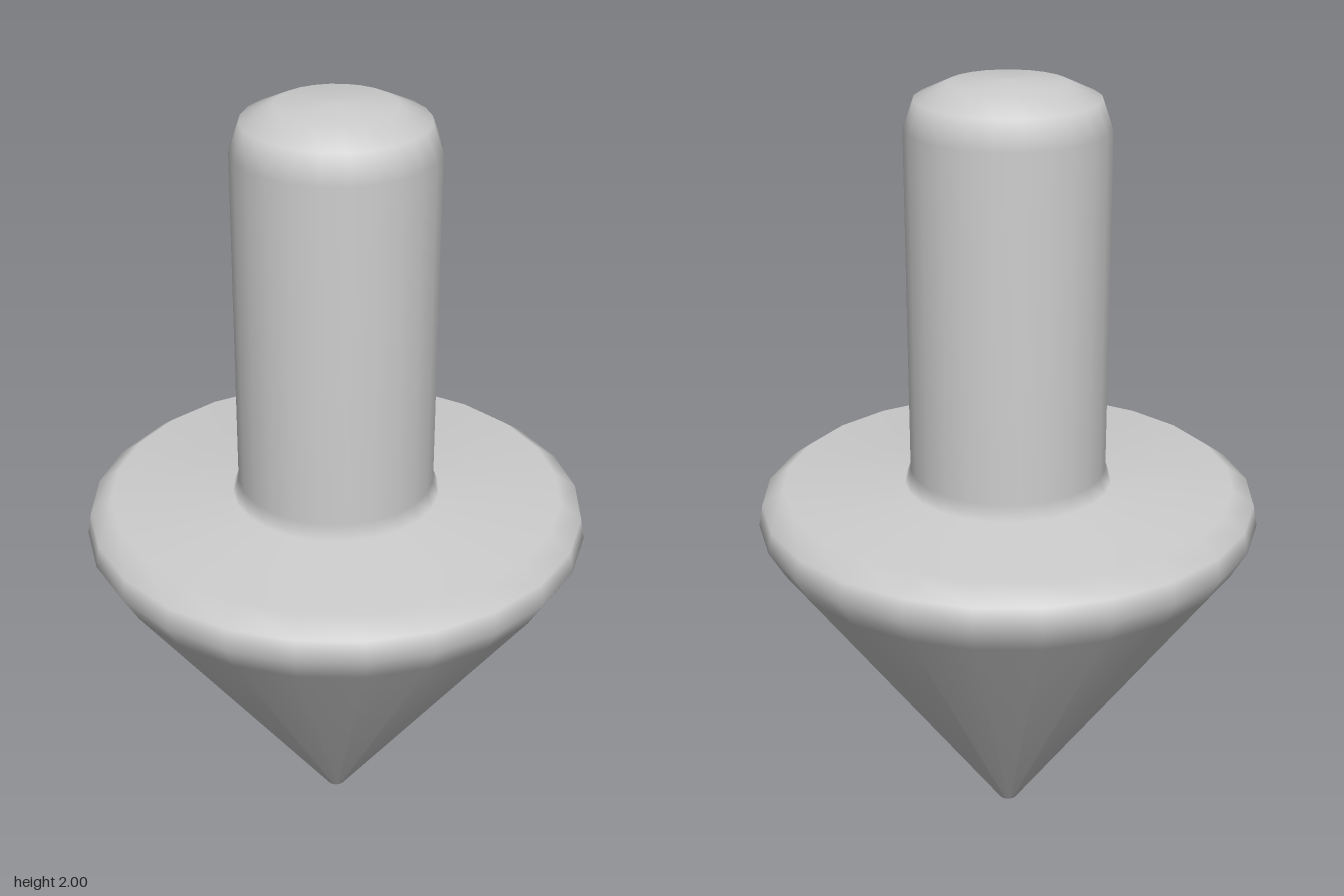
import * as THREE from 'three';

export function createModel() {
  const group = new THREE.Group();
  group.name = 'conicalPin';

  const grey = new THREE.MeshStandardMaterial({ color: 0xcccccc });
  grey.name = 'light grey';

  // Turned profile from the tip up: radius, height
  const profile = [
    [0, 0], [0.025, 0.005],                                 // blunt tip
    [0.6, 0.81], [0.64, 0.88], [0.63, 0.935], [0.575, 0.975], // cone and rounded rim
    [0.265, 0.975], [0.25, 1.015],                          // flat shoulder and fillet
    [0.25, 1.885], [0.225, 1.955], [0.145, 1.992], [0, 2],  // stem and rounded end
  ].map(([r, y]) => new THREE.Vector2(r, y));

  const body = new THREE.Mesh(new THREE.LatheGeometry(profile, 24), grey);
  body.name = 'coneAndStem';
  group.add(body);

  return group;
}
